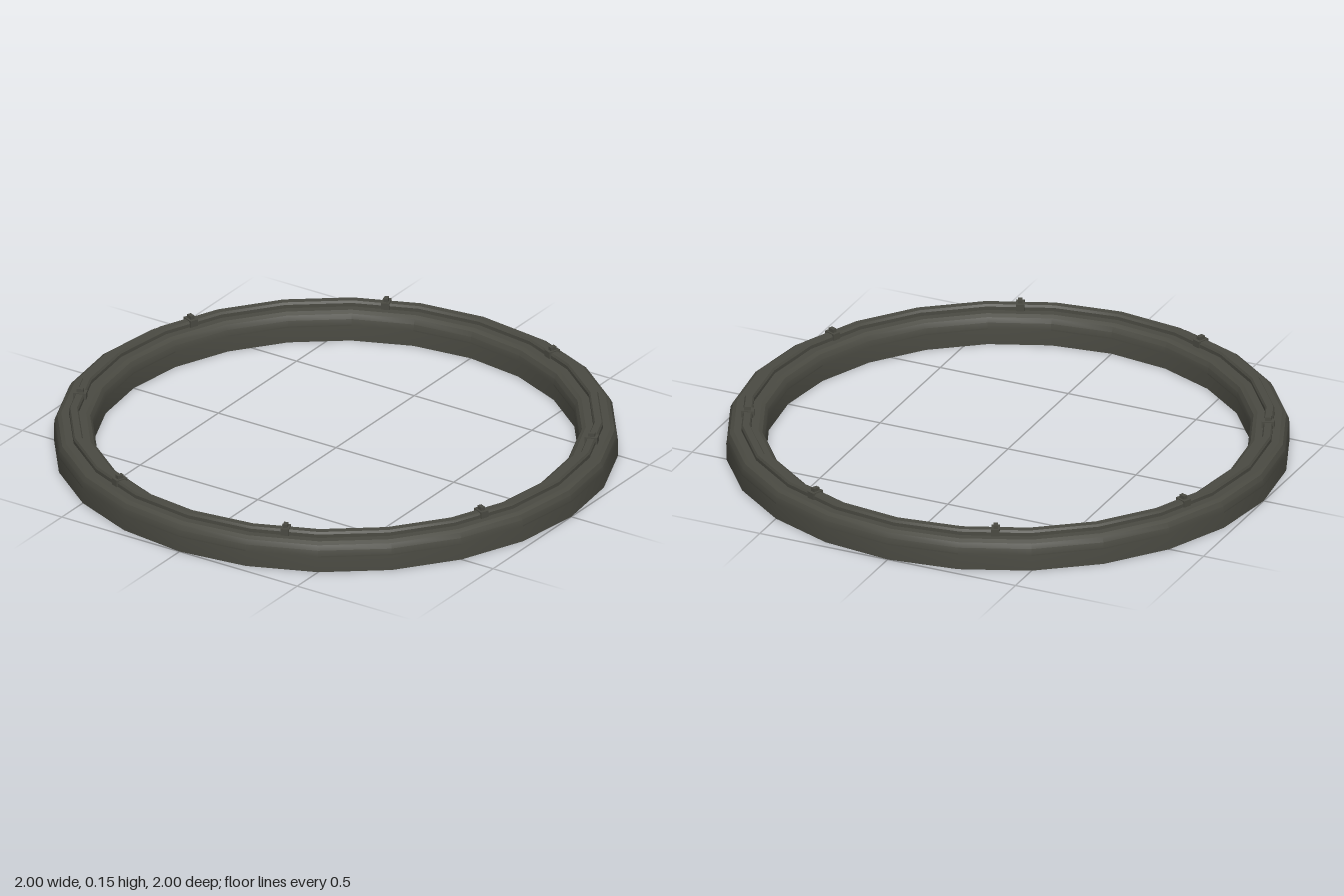
import * as THREE from 'three';
import { toCreasedNormals } from 'three/addons/utils/BufferGeometryUtils.js';

const MID = 0.93;      // centre radius of the ring section
const SIDES = 24;
const STEP = Math.PI / 4;

export function createModel() {
  const model = new THREE.Group();
  const mat = (name, color) => {
    const m = new THREE.MeshStandardMaterial({ color });
    m.name = name;
    return m;
  };
  const olive = mat('dark olive', 0x4a4a42);
  const grey = mat('light underside grey', 0xbcc0c0);

  const add = (parent, name, geometry, material) => {
    const mesh = new THREE.Mesh(geometry, material);
    mesh.name = name;
    parent.add(mesh);
    return mesh;
  };
  // Revolves [offset from centre radius, height] pairs
  const ring = (pairs, segments = SIDES, start = 0, length = Math.PI * 2) =>
    toCreasedNormals(new THREE.LatheGeometry(
      pairs.map(([d, y]) => new THREE.Vector2(MID + d, y)), segments, start, length), 0.4);

  // Ring body: bottom lips, rounded shoulders and a raised rail, symmetric across the section
  const lip = 0.058, depth = 0.007;
  const half = [[lip, depth], [lip, 0], [0.07, 0], [0.07, 0.06], [0.067, 0.083], [0.058, 0.1],
    [0.044, 0.109], [0.017, 0.109], [0.017, 0.122], [0.012, 0.13]];
  const mirrored = half.map(([d, y]) => [-d, y]).reverse();
  add(model, 'ringBody', ring([...half, ...mirrored]), olive);

  // Light panels set into the underside
  add(model, 'undersidePanel', ring([[-lip, depth], [lip, depth]]), grey);

  for (let i = 0; i < 8; i++) {
    // Narrow seams on the outer and inner walls
    const start = i * STEP - Math.PI / 12;
    add(model, 'outerSeam', ring([[0.0707, 0.058], [0.0707, 0.063]], 2, start, Math.PI / 6), olive);
    add(model, 'innerSeam', ring([[-0.0707, 0.063], [-0.0707, 0.058]], 2, start, Math.PI / 6), olive);

    // Clip on the rail and divider below, between neighbouring sections
    const joint = new THREE.Group();
    joint.name = 'joint';
    joint.rotation.y = (i + 0.5) * STEP;
    model.add(joint);
    const box = (name, w, h, d, y) => {
      add(joint, name, new THREE.BoxGeometry(w, h, d), olive).position.set(0, y, MID * 0.9914);
    };
    box('clipBase', 0.03, 0.026, 0.046, 0.121);
    box('clipKnob', 0.016, 0.014, 0.024, 0.14);
    box('divider', 0.03, 0.009, 0.118, 0.0055);
  }
  return model;
}
